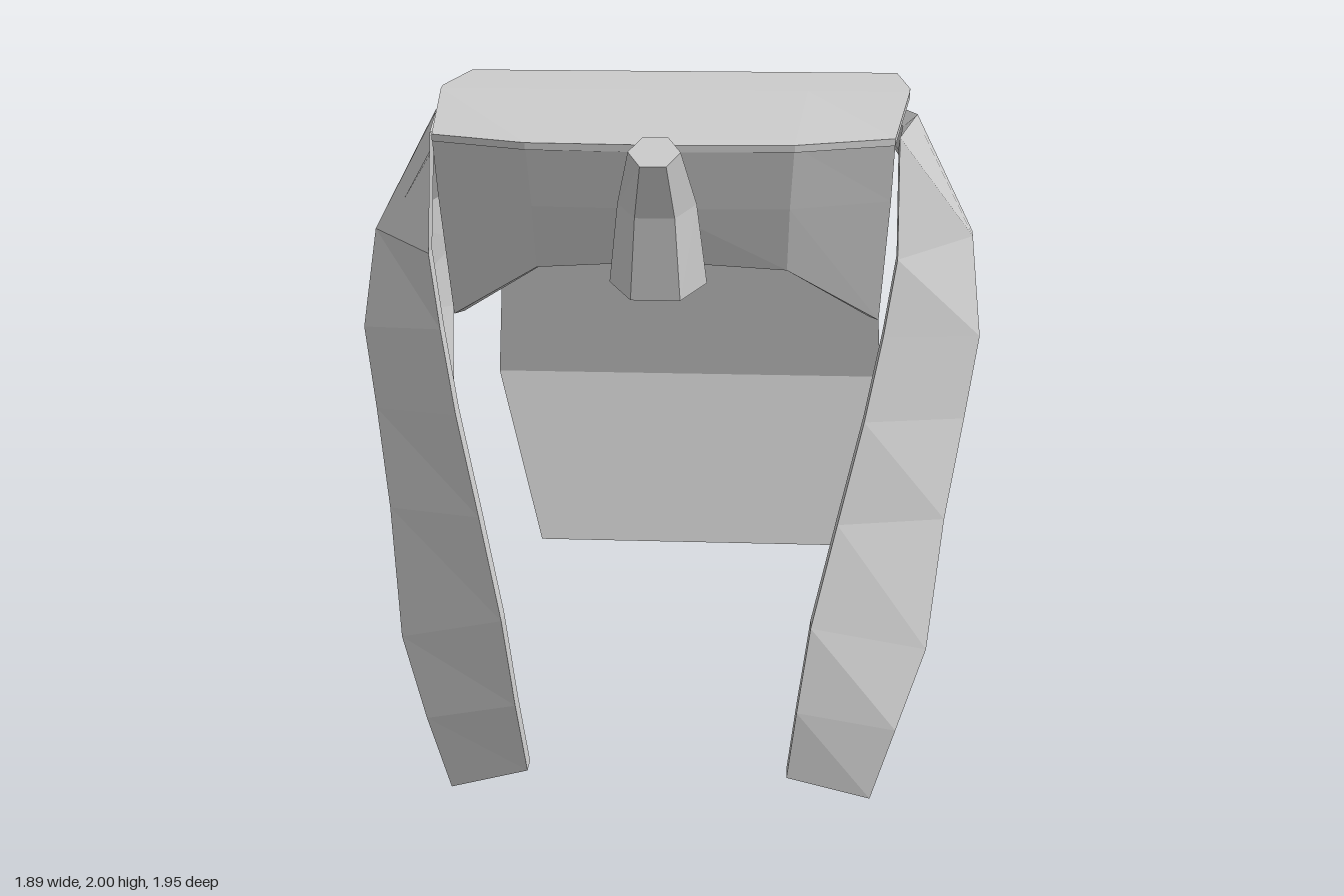
import * as THREE from 'three';

const grey = new THREE.MeshStandardMaterial({ color: 0xcccccc, flatShading: true });
grey.name = 'lightGrey';

// Closed thin shell from two matching grids of points (outer face and inner face).
// Rows run downwards and columns to the right as seen from outside.
function shell(name, outer, inner) {
  const pos = [];
  const quad = (a, b, c, d) => pos.push(...a, ...d, ...c, ...a, ...c, ...b);
  const R = outer.length - 1, C = outer[0].length - 1;
  for (let i = 0; i < R; i++) {
    for (let j = 0; j < C; j++) {
      quad(outer[i][j], outer[i][j + 1], outer[i + 1][j + 1], outer[i + 1][j]);
      quad(inner[i][j + 1], inner[i][j], inner[i + 1][j], inner[i + 1][j + 1]);
    }
    quad(inner[i][0], outer[i][0], outer[i + 1][0], inner[i + 1][0]);
    quad(outer[i][C], inner[i][C], inner[i + 1][C], outer[i + 1][C]);
  }
  for (let j = 0; j < C; j++) {
    quad(inner[0][j], inner[0][j + 1], outer[0][j + 1], outer[0][j]);
    quad(outer[R][j], outer[R][j + 1], inner[R][j + 1], inner[R][j]);
  }
  const g = new THREE.BufferGeometry();
  g.setAttribute('position', new THREE.Float32BufferAttribute(pos, 3));
  g.computeVertexNormals();
  const mesh = new THREE.Mesh(g, grey);
  mesh.name = name;
  return mesh;
}

const move = (p, d) => p.map((v, i) => v + d[i]);

// Top plate, rows from back to front; the front edge bows forward
function topPlate() {
  const cols = [-1, -0.57, 0, 0.57, 1];
  const rows = [ // half width, y, z, bow, inner offset in y and z
    [0.64, 1.833, -0.84, 0, -0.02, 0.05],
    [0.71, 1.98, -0.51, 0, -0.02, 0.04],
    [0.725, 2.0, -0.03, 0, -0.02, 0],
    [0.72, 2.0, 0.04, 0, -0.02, 0],
    [0.65, 1.955, 0.6, 0.14, -0.02, 0],
  ];
  const bow = [0, 0.86, 1, 0.86, 0];
  const outer = rows.map(([w, y, z, b]) => cols.map((c, j) => [c * w, y, z + b * bow[j]]));
  const inner = outer.map((row, i) => row.map((p) => move(p, [0, rows[i][4], rows[i][5]])));
  return shell('topPlate', outer, inner);
}

// Bent rear panel, rows from bottom to top
function backPanel() {
  const rows = [[0.54, 0.2, -0.79], [0.71, 0.8, -0.975], [0.64, 1.833, -0.84]];
  const outer = rows.map(([w, y, z]) => [[-w, y, z], [w, y, z]]);
  const inner = outer.map((row) => row.map((p) => move(p, [0, 0, 0.055])));
  return shell('backPanel', outer, inner);
}

// Front fringe hanging from the top plate, with an arched lower edge
function fringe() {
  const mirror = (half) => [...half.map(([x, y, z]) => [-x, y, z]), ...half.slice(0, -1).reverse()];
  const outer = [
    [[0.65, 1.95, 0.6], [0.37, 1.95, 0.72], [0, 1.95, 0.74]],
    [[0.645, 1.77, 0.56], [0.36, 1.77, 0.685], [0, 1.77, 0.705]],
    [[0.625, 1.4, 0.48], [0.355, 1.585, 0.64], [0, 1.61, 0.66]],
  ].map(mirror);
  const inner = outer.map((row) => row.map((p) => [p[0] * 0.96, p[1], p[2] - 0.035]));
  return shell('fringe', outer, inner);
}

// Curved side panel: front edge, narrow two-line ridge, back edge at each level
function sidePanel(side) {
  const rows = [
    [[0.665, 1.95, 0.55], [0.74, 1.926, 0.04], [0.75, 1.923, -0.02], [0.69, 1.835, -0.84]],
    [[0.665, 1.62, 0.64], [0.92, 1.58, 0.15], [0.925, 1.58, 0.075], [0.885, 1.51, -0.875]],
    [[0.63, 1.41, 0.69], [0.942, 1.3, 0.28], [0.945, 1.3, 0.215], [0.885, 1.32, -0.83]],
    [[0.58, 1.18, 0.77], [0.9, 1.06, 0.35], [0.905, 1.05, 0.29], [0.88, 1.12, -0.66]],
    [[0.51, 0.9, 0.85], [0.84, 0.79, 0.5], [0.845, 0.79, 0.45], [0.845, 0.87, -0.41]],
    [[0.44, 0.62, 0.94], [0.79, 0.43, 0.65], [0.795, 0.43, 0.59], [0.79, 0.49, 0.03]],
    [[0.405, 0.36, 0.95], [0.7, 0.22, 0.77], [0.705, 0.22, 0.7], [0.715, 0.28, 0.33]],
    [[0.38, 0.13, 0.91], [0.63, 0, 0.785], [0.635, 0, 0.715], [0.665, 0.13, 0.43]],
  ];
  const offsets = [[0, 0, -0.06], [-0.035, 0, -0.05], [-0.045, 0, -0.03], [-0.05, 0, 0]];
  const inside = rows.map((r, i) => r.map((p, j) => move(move(p, offsets[j]), [0, i ? 0 : -0.04, 0])));
  const place = (grid) => side > 0 ? grid
    : grid.map((r) => r.map(([x, y, z]) => [-x, y, z]).reverse());
  return shell(side > 0 ? 'leftSidePanel' : 'rightSidePanel', place(rows), place(inside));
}

// Six-sided tuft curving up and forward from the fringe
function frontTuft() {
  const rings = [ // half width, front [y, z], back [y, z]
    [0.07, [1.94, 0.975], [2.0, 0.875]],
    [0.108, [1.79, 0.915], [1.83, 0.725]],
    [0.135, [1.56, 0.9], [1.6, 0.655]],
  ];
  const g = new THREE.CylinderGeometry(1, 1, 1, 6, 2, false, Math.PI / 6);
  const p = g.attributes.position;
  for (let i = 0; i < p.count; i++) {
    const [w, front, back] = rings[Math.round(1 - 2 * p.getY(i))];
    const t = 0.5 + p.getZ(i) / Math.sqrt(3);
    p.setXYZ(i, p.getX(i) * w, back[0] + (front[0] - back[0]) * t, back[1] + (front[1] - back[1]) * t);
  }
  g.computeVertexNormals();
  const mesh = new THREE.Mesh(g, grey);
  mesh.name = 'frontTuft';
  return mesh;
}

export function createModel() {
  const model = new THREE.Group();
  model.name = 'shellHeadpiece';
  model.add(topPlate(), backPanel(), fringe(), sidePanel(1), sidePanel(-1), frontTuft());
  return model;
}
